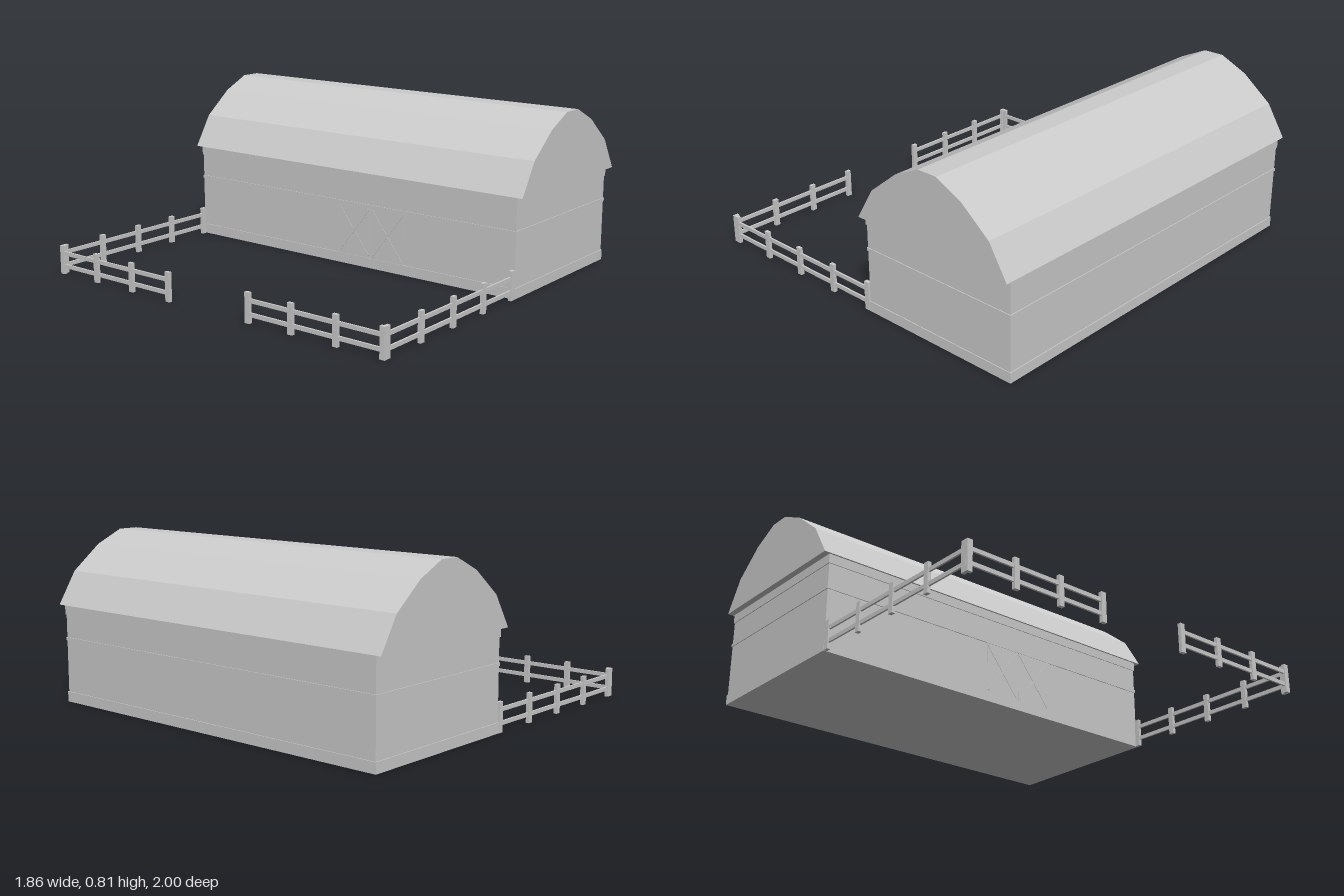
import * as THREE from 'three';

const mat = new THREE.MeshStandardMaterial({ color: 0xcccccc, flatShading: true });
const CX = 0.49; // barn centre line

function box(parent, name, w, h, d, x, y, z) {
  const m = new THREE.Mesh(new THREE.BoxGeometry(w, h, d), mat);
  m.name = name;
  m.position.set(x, y, z);
  parent.add(m);
  return m;
}

// Straight fence along local x: evenly spaced posts and two rails
function fence(name, length) {
  const g = new THREE.Group();
  g.name = name;
  const spans = Math.round(length / 0.237);
  for (let i = 0; i <= spans; i++) {
    box(g, 'fencePost', 0.026, 0.14, 0.017, (i / spans) * length, 0.07, 0);
  }
  for (const y of [0.04, 0.103]) box(g, 'fenceRail', length, 0.019, 0.009, length / 2, y, 0);
  return g;
}

export function createModel() {
  const model = new THREE.Group();
  model.name = 'barnWithPaddock';

  // Walls with base board, middle trim and eave board
  const barn = new THREE.Group();
  barn.name = 'barn';
  model.add(barn);
  box(barn, 'walls', 0.844, 0.478, 1.93, CX, 0.239, 0);
  for (const [name, y0, y1] of [['baseBoard', 0, 0.05], ['middleTrim', 0.303, 0.318], ['eaveBoard', 0.43, 0.478]]) {
    box(barn, name, 0.852, y1 - y0, 1.938, CX, (y0 + y1) / 2, 0);
  }

  // Faceted gambrel roof with closed gables
  const half = [[0.435, 0.475], [0.34, 0.63], [0.19, 0.75], [0.052, 0.815]];
  const outline = [...half, ...half.map(([x, y]) => [-x, y]).reverse()];
  const shape = new THREE.Shape(outline.map(([x, y]) => new THREE.Vector2(x, y)));
  const roof = new THREE.Mesh(new THREE.ExtrudeGeometry(shape, { depth: 2, bevelEnabled: false }), mat);
  roof.name = 'roof';
  roof.position.set(CX, 0, -1);
  barn.add(roof);

  // Pair of cross-braced doors facing the paddock
  const doorW = 0.2, doorH = 0.253;
  for (const z of [0.05, 0.25]) {
    const door = new THREE.Group();
    door.name = 'door';
    door.position.set(0.067, 0.05 + doorH / 2, z);
    barn.add(door);
    box(door, 'doorPanel', 0.003, doorH, doorW - 0.003, 0, 0, 0);
    const angle = Math.atan2(doorH - 0.02, doorW - 0.02);
    for (const s of [-1, 1]) {
      const brace = box(door, 'doorBrace', 0.004, 0.012, Math.hypot(doorW - 0.02, doorH - 0.02), -0.001, 0, 0);
      brace.rotation.x = s * angle;
    }
  }

  // Paddock fence: two long runs and two short runs leaving a gateway
  for (const s of [-1, 1]) {
    const run = fence('longFence', 0.953);
    run.position.set(-0.905, 0, s * 0.961);
    const gate = fence('gateFence', 0.715);
    gate.rotation.y = Math.PI / 2 * s;
    gate.position.set(-0.922, 0, s * 0.956);
    model.add(run, gate);
  }
  return model;
}
